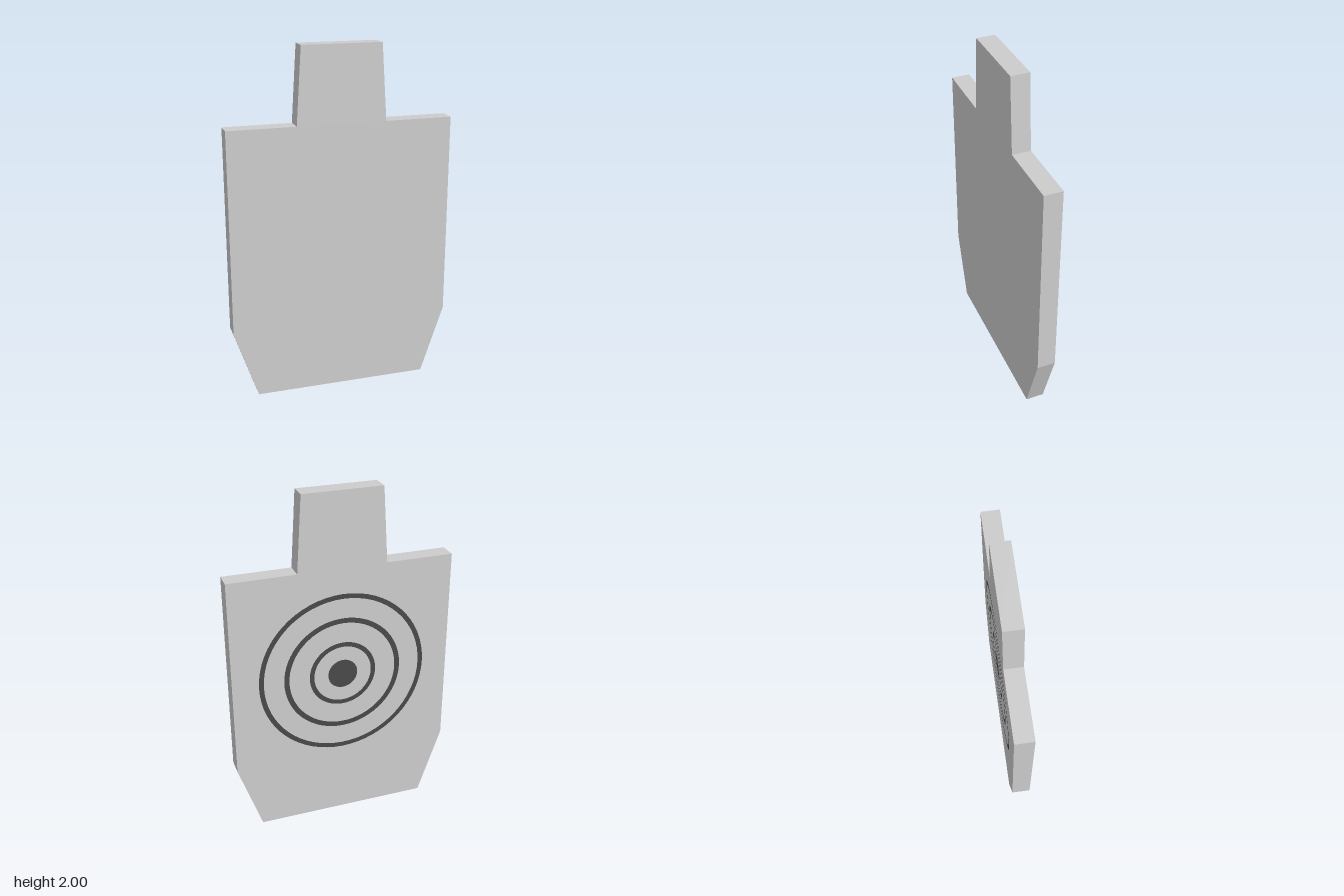
import * as THREE from 'three';

export function createModel() {
  const group = new THREE.Group();
  const grey = new THREE.MeshStandardMaterial({ color: 0xcccccc });
  const dark = new THREE.MeshStandardMaterial({ color: 0x484848 });
  const depth = 0.105;

  // Board: right half of the outline, mirrored to the left
  const half = [[0.507, 0], [0.642, 0.4], [0.642, 1.57], [0.255, 1.57], [0.227, 2]];
  const mirrored = half.map(([x, y]) => [-x, y]).reverse();
  const outline = new THREE.Shape([...half, ...mirrored].map(([x, y]) => new THREE.Vector2(x, y)));
  const boardGeometry = new THREE.ExtrudeGeometry(outline, { depth, bevelEnabled: false });
  boardGeometry.translate(0, 0, -depth / 2);
  const board = new THREE.Mesh(boardGeometry, grey);
  board.name = 'board';
  group.add(board);

  // Painted markings on the back face, facing -z
  const addMarking = (name, geometry) => {
    const mesh = new THREE.Mesh(geometry, dark);
    mesh.name = name;
    mesh.rotation.y = Math.PI;
    mesh.position.set(0, 0.93, -depth / 2 - 0.001);
    group.add(mesh);
  };
  addMarking('bullseye', new THREE.CircleGeometry(0.087, 48));
  const rings = [['innerRing', 0.17, 0.197], ['middleRing', 0.316, 0.346], ['outerRing', 0.463, 0.491]];
  for (const [name, inner, outer] of rings) {
    addMarking(name, new THREE.RingGeometry(inner, outer, 64));
  }

  return group;
}
